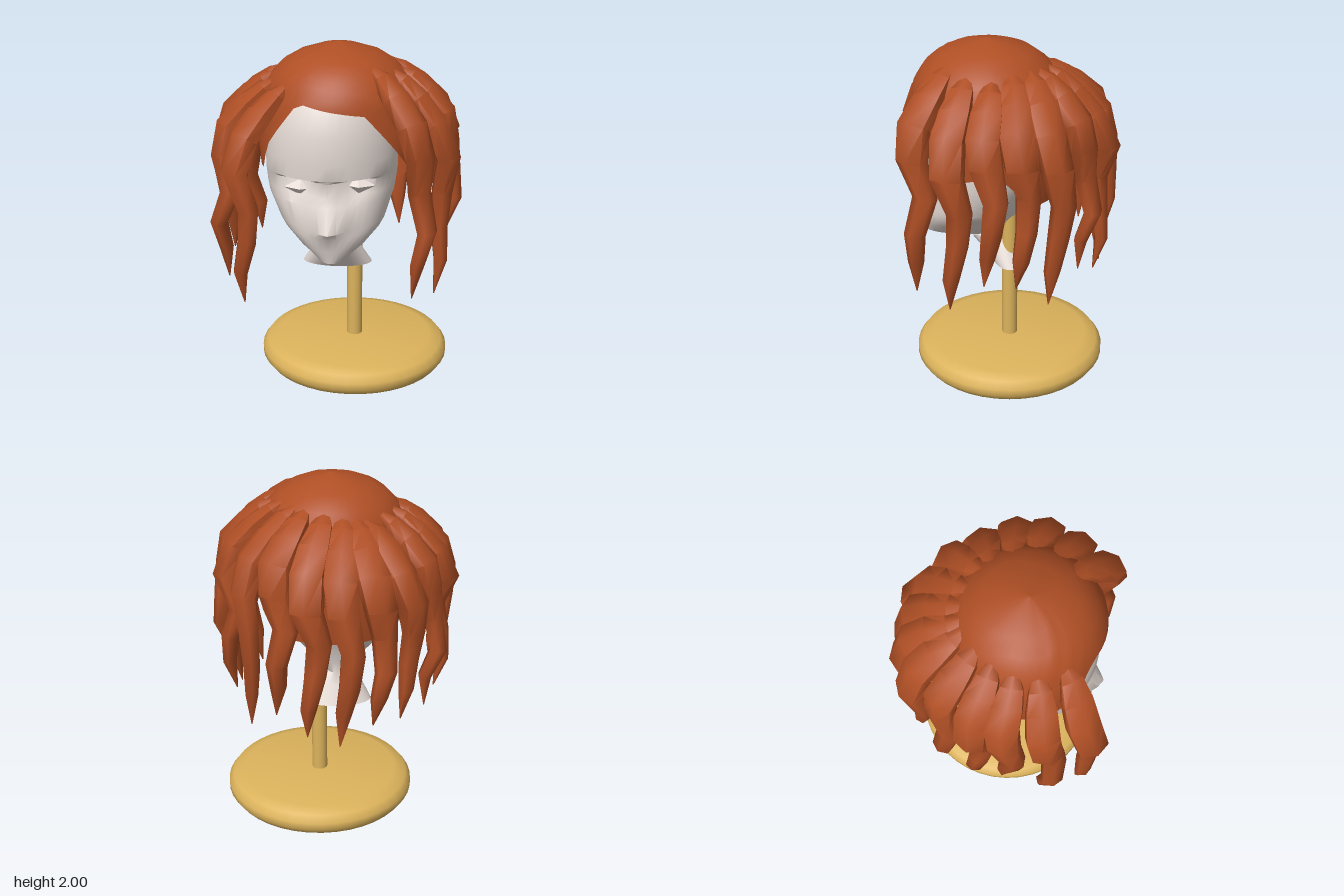
import * as THREE from 'three';
import { toCreasedNormals } from 'three/addons/utils/BufferGeometryUtils.js';

const material = (color) => new THREE.MeshStandardMaterial({ color, side: THREE.DoubleSide });

// Piecewise linear lookup in [key, value] pairs with rising keys
function lookup(table, k) {
  let i = 1;
  while (i < table.length - 1 && k > table[i][0]) i++;
  const [a, b] = [table[i - 1], table[i]];
  return THREE.MathUtils.mapLinear(THREE.MathUtils.clamp(k, a[0], b[0]), a[0], b[0], a[1], b[1]);
}

// Skin closed rings of points, listed from top to bottom
function loft(rings) {
  const n = rings[0].length, index = [];
  for (let i = 0; i < rings.length - 1; i++) {
    for (let j = 0; j < n; j++) {
      const a = i * n + j, d = i * n + (j + 1) % n;
      index.push(a, a + n, d, a + n, d + n, d);
    }
  }
  const geo = new THREE.BufferGeometry().setFromPoints(rings.flat());
  geo.setIndex(index);
  geo.computeVertexNormals();
  return geo;
}

// Head rows: y, half width, front z, middle z, back z, nose push, eye socket depth
const HEAD = [
  [1.90, 0.01, 0.16, 0.15, 0.14, 0, 0],
  [1.85, 0.20, 0.36, 0.14, -0.08, 0, 0],
  [1.72, 0.31, 0.49, 0.14, -0.20, 0, 0],
  [1.55, 0.36, 0.53, 0.14, -0.26, 0, 0],
  [1.40, 0.375, 0.53, 0.14, -0.26, 0, 0],
  [1.31, 0.375, 0.52, 0.14, -0.24, 0, 0],
  [1.29, 0.375, 0.50, 0.14, -0.23, 0.01, 0.07],
  [1.21, 0.365, 0.49, 0.15, -0.20, 0.02, 0.04],
  [1.16, 0.355, 0.50, 0.16, -0.17, 0.03, 0],
  [1.02, 0.30, 0.50, 0.20, -0.11, 0.09, 0],
  [0.98, 0.27, 0.51, 0.24, -0.09, 0.04, 0],
  [0.90, 0.19, 0.52, 0.28, -0.07, 0, 0],
  [0.82, 0.10, 0.50, 0.25, -0.05, 0, 0],
  [0.81, 0.105, 0.25, 0.08, -0.05, 0, 0],
  [0.75, 0.14, 0.20, 0.04, -0.07, 0, 0],
  [0.635, 0.205, 0.10, 0.0, -0.12, 0, 0],
];

function headGeometry() {
  const n = 40;
  const rings = HEAD.map(([y, hw, zf, zc, zb, nose, socket]) =>
    Array.from({ length: n }, (_, j) => {
      const a = (j / n) * Math.PI * 2, x = hw * Math.sin(a), c = Math.cos(a);
      let z = zc + c * (c > 0 ? zf - zc : zc - zb);
      if (c > 0) {
        z += nose * Math.exp(-((x / 0.085) ** 2));
        z -= socket * Math.exp(-(((Math.abs(x) - 0.16) / 0.09) ** 2));
      }
      return new THREE.Vector3(x - 0.01 - 0.02 * THREE.MathUtils.smoothstep(y, 0.85, 1.2), y, z);
    }));
  return toCreasedNormals(loft(rings), 0.8);
}

// Scalp cap: radius by height, and hem height by angle from the front
const CAP_RADIUS = [[1.1, 0.42], [1.25, 0.44], [1.5, 0.46], [1.75, 0.42], [1.85, 0.36], [1.92, 0.28], [1.97, 0.16], [2, 0]];
const CAP_HEIGHT = CAP_RADIUS.map(([y, r]) => [r, y]).slice(2).reverse();
const HEM = [[-3.15, 1.12], [-2.2, 1.12], [-1.7, 1.35], [-1.2, 1.3], [-0.9, 1.5], [-0.47, 1.74],
  [-0.1, 1.71], [0.4, 1.68], [0.85, 1.45], [1.2, 1.3], [1.7, 1.35], [2.2, 1.12], [3.15, 1.12]];
const CAP_X = 0.01, CAP_Z = 0.125;

function capGeometry() {
  const n = 48, rows = 9, rings = [];
  for (let i = 0; i <= rows; i++) {
    const t = (i / rows) ** 1.7;
    rings.push(Array.from({ length: n }, (_, j) => {
      const a = (j / n - 0.5) * Math.PI * 2;
      const y = 2 - (2 - lookup(HEM, a)) * t, r = lookup(CAP_RADIUS, y);
      return new THREE.Vector3(CAP_X + r * Math.sin(a), y, CAP_Z + r * Math.cos(a));
    }));
  }
  return loft(rings);
}

// Lock stations: fraction of drop, fraction of reach, half width, half thickness, sideways sway
const LOCK = [
  [0.00, -0.15, 0.02, 0.01, 0],
  [0.05, 0.12, 0.070, 0.04, 0],
  [0.12, 0.38, 0.095, 0.06, -0.01],
  [0.22, 0.68, 0.104, 0.07, -0.02],
  [0.36, 0.83, 0.100, 0.07, 0],
  [0.53, 0.76, 0.075, 0.06, 0.05],
  [0.69, 0.83, 0.065, 0.052, 0.03],
  [0.84, 0.78, 0.050, 0.04, 0],
  [1.00, 0.74, 0.003, 0.003, -0.02],
];

// Locks: root x, root z, outer x, outer z, tip height
const LOCKS = [
  [-0.28, 0.38, -0.55, 0.59, 0.58], [-0.36, 0.24, -0.69, 0.37, 0.65], [-0.37, 0.11, -0.70, 0.11, 0.74],
  [-0.34, -0.01, -0.67, -0.08, 0.75], [-0.27, -0.12, -0.60, -0.30, 0.72], [-0.17, -0.21, -0.44, -0.49, 0.72],
  [-0.11, -0.23, -0.25, -0.60, 0.72], [-0.03, -0.24, -0.03, -0.64, 0.60], [0.07, -0.22, 0.18, -0.59, 0.64],
  [0.18, -0.17, 0.38, -0.48, 0.73], [0.24, -0.11, 0.57, -0.28, 0.58], [0.31, -0.01, 0.67, -0.07, 0.73],
  [0.37, 0.10, 0.70, 0.13, 0.76], [0.33, 0.24, 0.66, 0.34, 0.59], [0.22, 0.34, 0.54, 0.57, 0.64],
];

function lockGeometry([rx, rz, ox, oz, tip], i) {
  const sides = 6, reach = Math.hypot(ox - rx, oz - rz);
  const out = new THREE.Vector3(ox - rx, 0, oz - rz).normalize();
  const side = new THREE.Vector3(out.z, 0, -out.x);
  const top = lookup(CAP_HEIGHT, Math.hypot(rx - CAP_X, rz - CAP_Z)) + 0.01;
  const path = LOCK.map(([v, k, , , s], j) => {
    const wave = j > 3 && j < 8 ? 0.028 * Math.sin(i * 2.4 + j * 1.9) : 0;
    return { r: k * reach + wave, y: THREE.MathUtils.lerp(top, tip, v), s };
  });
  const rings = path.map((p, j) => {
    const a = path[Math.max(j - 1, 0)], b = path[Math.min(j + 1, path.length - 1)];
    const len = Math.hypot(b.r - a.r, b.y - a.y);
    const normal = out.clone().multiplyScalar((a.y - b.y) / len);
    normal.y = (b.r - a.r) / len;
    const centre = new THREE.Vector3(rx, p.y, rz).addScaledVector(out, p.r).addScaledVector(side, p.s);
    const [, , w, h] = LOCK[j];
    return Array.from({ length: sides }, (_, k) => {
      const f = (k / sides) * Math.PI * 2;
      return centre.clone().addScaledVector(side, w * Math.sin(f)).addScaledVector(normal, h * Math.cos(f));
    });
  });
  return toCreasedNormals(loft(rings), 1.2);
}

export function createModel() {
  const model = new THREE.Group();
  const wood = material(0xdcb35c), hair = material(0xaf4f25), skin = material(0xe6dbd5);
  const add = (name, geo, mat, parent = model) => {
    const mesh = new THREE.Mesh(geo, mat);
    mesh.name = name;
    parent.add(mesh);
    return mesh;
  };

  // Stand: rounded disc and post
  const profile = [[0, 0], [0.48, 0], [0.53, 0.02], [0.56, 0.06], [0.56, 0.1], [0.53, 0.14], [0.46, 0.16], [0, 0.16]];
  const disc = new THREE.LatheGeometry(profile.map(([x, y]) => new THREE.Vector2(x, y)), 40);
  add('standBase', toCreasedNormals(disc, 0.8), wood).position.x = 0.093;
  add('standPost', new THREE.CylinderGeometry(0.046, 0.046, 0.85, 16), wood).position.set(0.093, 0.56, 0);

  // Head with faceted eyes in the sockets
  add('head', headGeometry(), skin);
  for (const [name, x, y] of [['rightEye', -0.18, 1.24], ['leftEye', 0.14, 1.26]]) {
    const eye = add(name, toCreasedNormals(new THREE.OctahedronGeometry(0.06), 0.2), skin);
    eye.position.set(x, y, 0.41);
    eye.scale.set(1.6, 0.8, 0.8);
  }

  // Wig: scalp cap and a fringe of wavy locks around sides and back
  const wig = new THREE.Group();
  wig.name = 'wig';
  model.add(wig);
  add('scalpCap', capGeometry(), hair, wig);
  LOCKS.forEach((lock, i) => add('hairLock' + (i + 1), lockGeometry(lock, i), hair, wig));
  return model;
}
